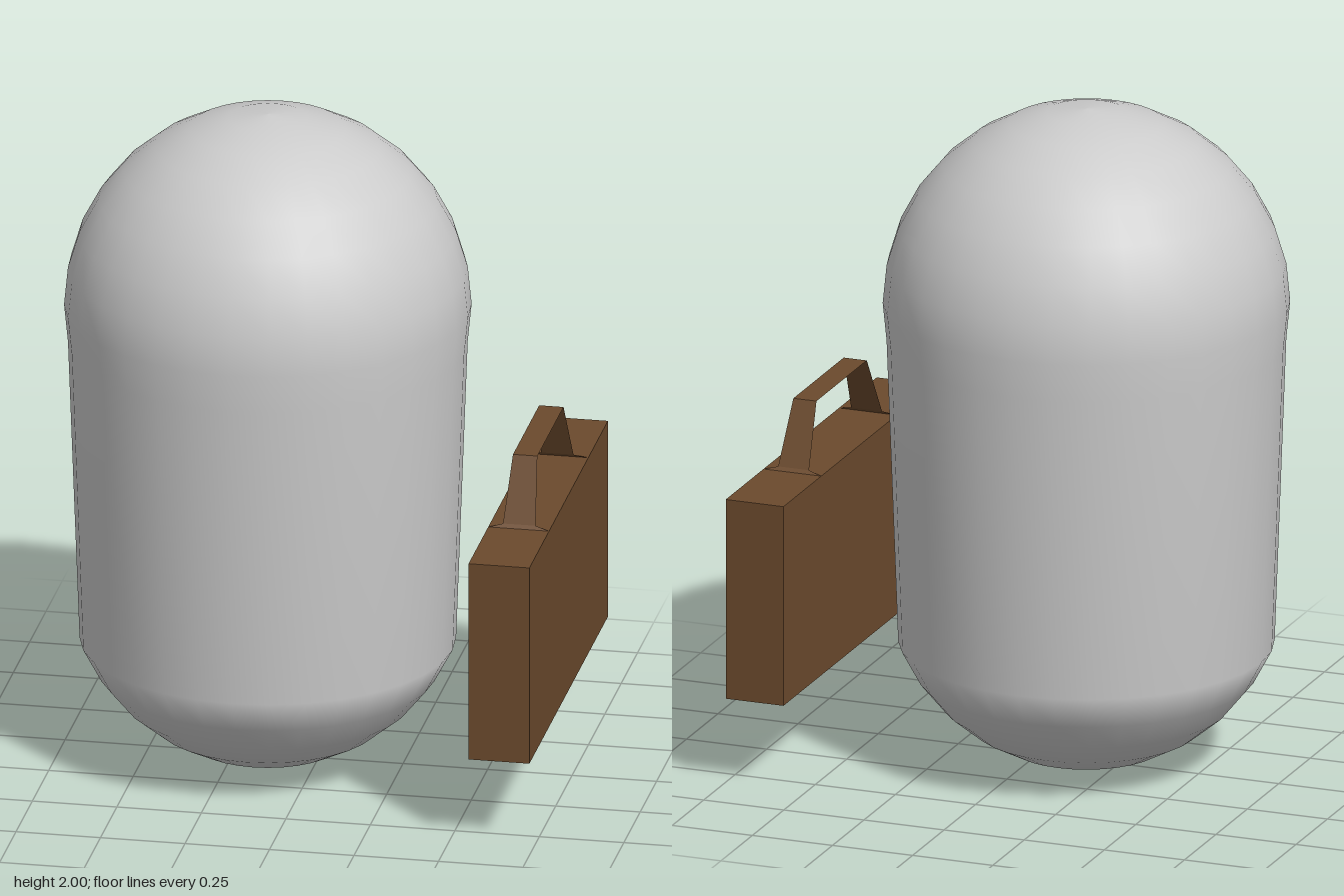
import * as THREE from 'three';

const R = 0.592;
const STEP = Math.PI / 16;

// Flat ribbon swept along z/y stations [z, y, halfWidth]
function ribbon(stations, cx) {
  const positions = [];
  const index = [];
  stations.forEach(([z, y, w], i) => {
    positions.push(cx - w, y, z, cx + w, y, z);
    if (i > 0) {
      const a = 2 * (i - 1);
      index.push(a, a + 1, a + 3, a, a + 3, a + 2);
    }
  });
  const geometry = new THREE.BufferGeometry();
  geometry.setAttribute('position', new THREE.Float32BufferAttribute(positions, 3));
  geometry.setIndex(index);
  const flat = geometry.toNonIndexed();
  flat.computeVertexNormals();
  return flat;
}

export function createModel() {
  const model = new THREE.Group();
  model.name = 'capsuleWithBriefcase';

  const grey = new THREE.MeshStandardMaterial({ color: 0xcccccc });
  const brown = new THREE.MeshStandardMaterial({ color: 0x6b4a2d });
  const brownThin = new THREE.MeshStandardMaterial({ color: 0x6b4a2d, side: THREE.DoubleSide });

  // Body: shallow lower cap, tapered wall, round dome reaching just past its equator
  const profile = [];
  const arc = (centerY, from, to) => {
    for (let i = from; i <= to; i++) {
      const a = i * STEP;
      const r = Math.abs(i) === 8 ? 0 : R * Math.cos(a);
      profile.push(new THREE.Vector2(r, centerY + R * Math.sin(a)));
    }
  };
  arc(0.597, -8, -2);
  arc(2 - R, -1, 8);
  const body = new THREE.Mesh(new THREE.LatheGeometry(profile, 32), grey);
  body.name = 'body';
  body.position.x = -0.15;
  model.add(body);

  // Briefcase held at the left side
  const briefcase = new THREE.Group();
  briefcase.name = 'briefcase';
  const shell = new THREE.Mesh(new THREE.BoxGeometry(0.18, 0.61, 1.2), brown);
  shell.name = 'briefcaseShell';
  shell.position.set(0.65, 0.575, 0);
  briefcase.add(shell);

  // Handle: thin strap with flared feet, sloping legs and a level grip
  const half = [[0.3, 0.88, 0.09], [0.29, 0.89, 0.048], [0.2, 1.072, 0.036]];
  const stations = [...half, ...half.map(([z, y, w]) => [-z, y, w]).reverse()];
  const handle = new THREE.Mesh(ribbon(stations, 0.65), brownThin);
  handle.name = 'briefcaseHandle';
  briefcase.add(handle);

  model.add(briefcase);
  return model;
}
